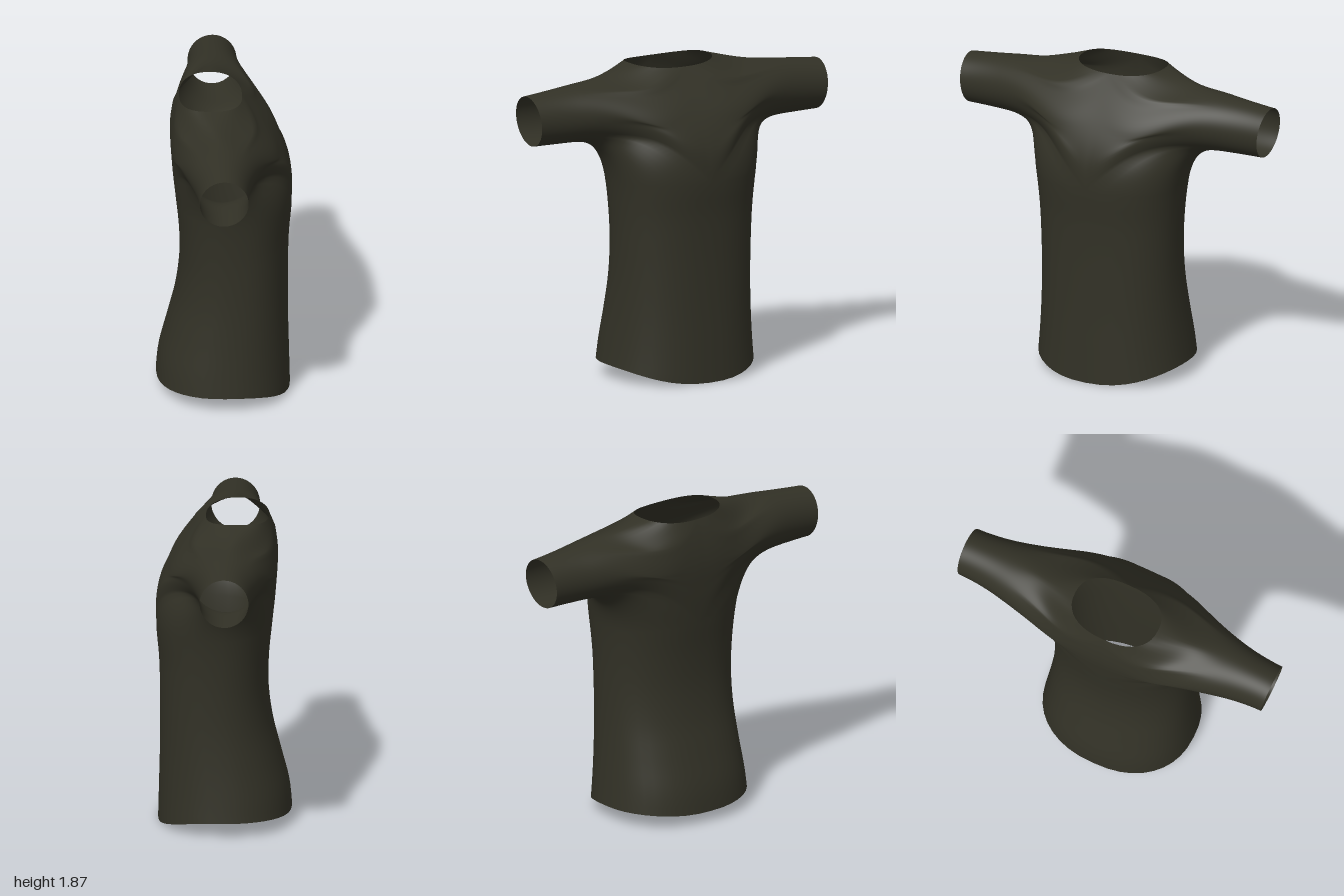
import * as THREE from 'three';
import { mergeVertices } from 'three/addons/utils/BufferGeometryUtils.js';

const V = (x, y, z) => new THREE.Vector3(x, y, z);
const spow = (v, e) => Math.sign(v) * Math.abs(v) ** e;

// Body profiles sampled every 0.2 units of height
const FRONT = [0.385, 0.38, 0.375, 0.373, 0.374, 0.38, 0.396, 0.386, 0.3, 0.145, -0.04];
const BACK = [-0.405, -0.385, -0.335, -0.286, -0.262, -0.265, -0.285, -0.305, -0.313, -0.28, -0.2];
const WIDTH = [0.475, 0.455, 0.438, 0.428, 0.428, 0.437, 0.458, 0.5, 0.55, 0.6, 0.65];
const CHEST = 1.2, NECK = 1.845, SLEEVE = 0.72;
const N = 20; // columns on each side of the shoulder patch

// Smooth interpolation of a profile at height y
function at(list, y) {
  const s = y / 0.2;
  const i = Math.min(Math.max(Math.floor(s), 0), list.length - 2), t = s - i;
  const b = list[i], c = list[i + 1];
  const a = list[i - 1] ?? 2 * b - c, d = list[i + 2] ?? 2 * c - b;
  return b + 0.5 * t * (c - a + t * (2 * a - 5 * b + 4 * c - d + t * (3 * (b - c) + d - a)));
}

// Point on the horizontal body section; phi runs front (0) to back (PI)
function section(y, phi) {
  const f = at(FRONT, y), b = at(BACK, y), e = 2 / 2.3;
  return V((f + b) / 2 + (f - b) / 2 * spow(Math.cos(phi), e), y,
    at(WIDTH, y) * spow(Math.sin(phi), e));
}

// Neckline
function neck(phi) {
  const f = at(FRONT, NECK), b = at(BACK, NECK), e = 2 / 2.4;
  return V((f + b) / 2 + (f - b) / 2 * spow(Math.cos(phi), e),
    NECK + 0.02 * Math.sin(phi) ** 2, 0.27 * spow(Math.sin(phi), e));
}

// Direction in which the cloth leaves the neckline
function neckOut(phi) {
  const c = Math.cos(phi), s2 = Math.sin(phi) ** 2;
  const end = c > 0 ? V(0.75, -0.65, 0) : V(-0.35, -0.94, 0);
  return end.multiplyScalar(c * c).add(V(0, -0.25, 1).multiplyScalar(s2)).normalize();
}

// Sleeve tube, widening towards the shoulder
function sleeve(z, theta) {
  const k = 1 - z, top = 1.755 + 0.1 * k, bottom = 1.455 - 0.01 * k;
  const rx = 0.143 + 0.41 * k * k;
  return V(-0.035 + rx * Math.cos(theta),
    (top + bottom) / 2 + (top - bottom) / 2 * Math.sin(theta), z);
}

// Four sides of the shoulder patch: chest line, back centre, neckline, front centre
const up = (phi) => section(CHEST + 0.01, phi).sub(section(CHEST - 0.01, phi)).normalize();
const mix = THREE.MathUtils.lerp;
const SIDES = [
  { point: (u) => section(CHEST, Math.PI * u), out: (u) => up(Math.PI * u) },
  { point: (u) => section(mix(CHEST, NECK, u), Math.PI).setZ(0), out: () => V(0, 0, 1) },
  { point: (u) => neck(Math.PI * (1 - u)), out: (u) => neckOut(Math.PI * (1 - u)) },
  { point: (u) => section(mix(NECK, CHEST, u), 0), out: () => V(0, 0, 1) },
];

// Curve from the edge of the patch to the start of the sleeve
function shoulderCurve(i) {
  const side = SIDES[Math.floor(i / N) % 4], u = (i % N) / N;
  const theta = -Math.PI / 4 - (2 * Math.PI * i) / (4 * N);
  const p0 = side.point(u), p3 = sleeve(SLEEVE, theta);
  const along = side.point(u + 0.002).sub(side.point(u - 0.002)).normalize();
  const start = side.out(u).addScaledVector(along, Math.cos(Math.PI * u)).normalize();
  const end = sleeve(SLEEVE - 0.005, theta).sub(sleeve(SLEEVE + 0.005, theta)).normalize();
  const h = 0.48 * p0.distanceTo(p3);
  return new THREE.CubicBezierCurve3(p0, p0.clone().addScaledVector(start, h),
    p3.clone().addScaledVector(end, h), p3);
}

function createShirtGeometry() {
  const positions = [], index = [];

  // Adds a grid of points on one half and its mirror image on the other
  function addGrid(columns) {
    const rows = columns[0].length;
    for (const m of [1, -1]) {
      const base = positions.length / 3;
      columns.flat().forEach((p) => positions.push(p.x, p.y, m * p.z));
      for (let i = 0; i < columns.length - 1; i++) {
        for (let j = 0; j < rows - 1; j++) {
          const a = base + i * rows + j, b = a + rows, c = a + 1, d = b + 1;
          if (m > 0) index.push(a, c, b, b, c, d);
          else index.push(a, b, c, b, d, c);
        }
      }
    }
  }

  // Lower body, from the curved hem to the chest line
  const body = [];
  for (let i = 0; i <= N; i++) {
    const phi = (Math.PI * i) / N, x = spow(Math.cos(phi), 2 / 2.3);
    const hem = 0.09 - (x > 0 ? 0.09 * x ** 2.5 : 0.025 * x ** 4);
    body.push(Array.from({ length: 25 }, (_, j) => section(mix(hem, CHEST, j / 24), phi)));
  }
  addGrid(body);

  // Shoulders and sleeves, ending in a slanted cuff
  const shoulder = [];
  for (let i = 0; i <= 4 * N; i++) {
    const theta = -Math.PI / 4 - (2 * Math.PI * i) / (4 * N);
    const column = shoulderCurve(i).getPoints(24);
    const cuff = 0.985 + 0.015 * Math.sin(theta);
    for (let j = 1; j <= 8; j++) column.push(sleeve(mix(SLEEVE, cuff, j / 8), theta));
    shoulder.push(column);
  }
  addGrid(shoulder);

  const geometry = new THREE.BufferGeometry();
  geometry.setAttribute('position', new THREE.Float32BufferAttribute(positions, 3));
  geometry.setIndex(index);
  const welded = mergeVertices(geometry, 1e-4);
  welded.computeVertexNormals();
  return welded;
}

export function createModel() {
  const cloth = new THREE.MeshStandardMaterial({ color: 0x323126, side: THREE.DoubleSide });
  cloth.name = 'dark olive cloth';
  const shirt = new THREE.Mesh(createShirtGeometry(), cloth);
  shirt.name = 'shirt';
  const model = new THREE.Group();
  model.name = 'tShirt';
  model.add(shirt);
  return model;
}
